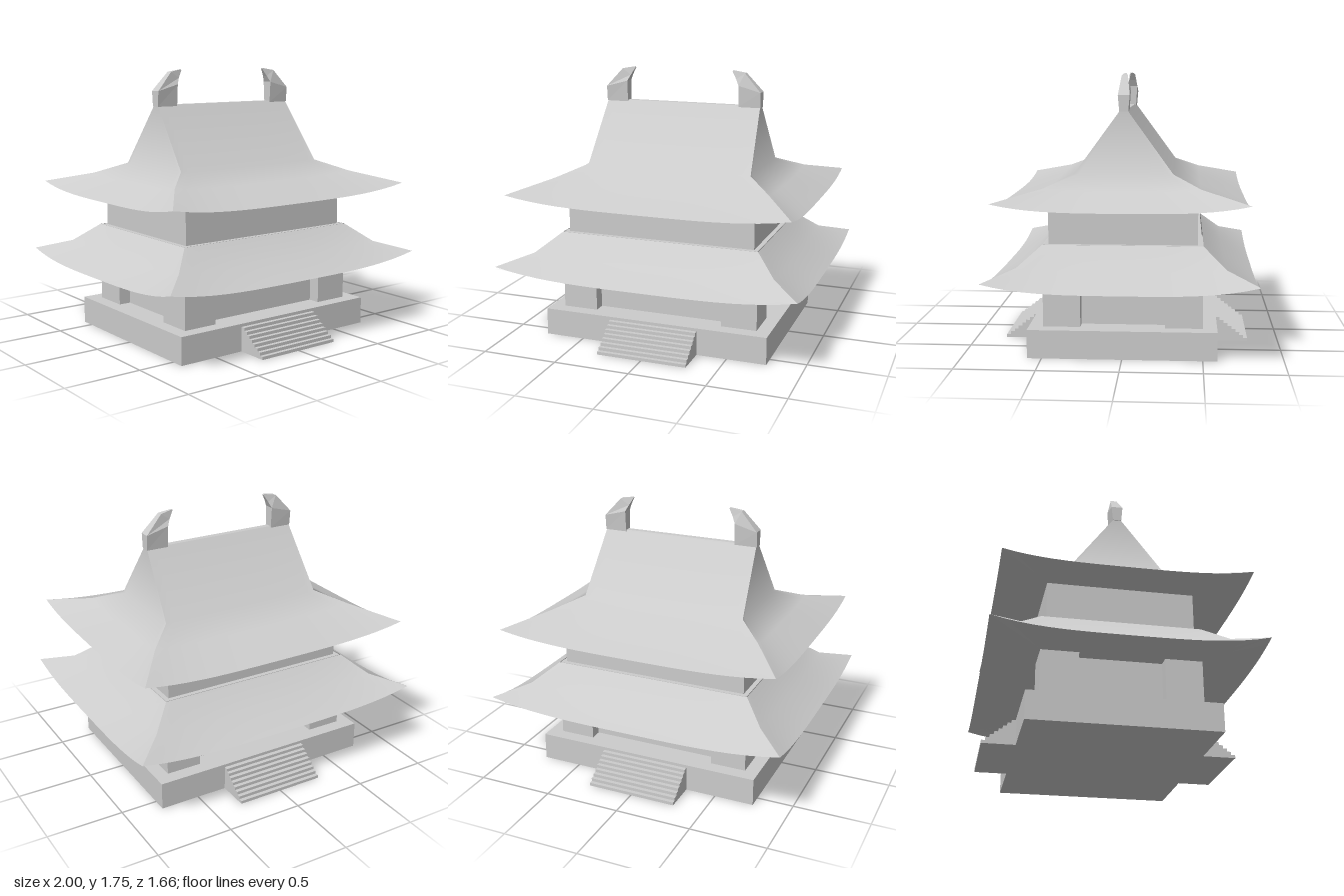
import * as THREE from 'three';

const material = new THREE.MeshStandardMaterial({ color: 0xcccccc, side: THREE.DoubleSide });

function add(parent, geometry, name, x = 0, y = 0, z = 0) {
  const mesh = new THREE.Mesh(geometry, material);
  mesh.name = name;
  mesh.position.set(x, y, z);
  parent.add(mesh);
  return mesh;
}

// Surface through rows of points, listed left to right and bottom to top
function gridGeometry(rows) {
  const n = rows[0].length;
  const index = [];
  for (let r = 0; r < rows.length - 1; r++) {
    for (let i = 0; i < n - 1; i++) {
      const a = r * n + i;
      index.push(a, a + 1, a + n + 1, a, a + n + 1, a + n);
    }
  }
  const geometry = new THREE.BufferGeometry();
  geometry.setAttribute('position', new THREE.Float32BufferAttribute(rows.flat(2), 3));
  geometry.setIndex(index);
  geometry.computeVertexNormals();
  return geometry;
}

// One row of a roof panel: the middle hangs below the corners by sag
function roofRow(halfWidth, out, y, sag, segments = 20) {
  const row = [];
  for (let i = 0; i <= segments; i++) {
    const t = (i / segments) * 2 - 1;
    row.push([t * halfWidth, y - sag * (1 - Math.abs(t) ** 3.5), out]);
  }
  return row;
}

// Four curved panels meeting at sharp hips; rings are [halfX, halfZ, y, sag]
function createRoof(name, rings, soffit) {
  const roof = new THREE.Group();
  roof.name = name;
  for (let k = 0; k < 4; k++) {
    const toRow = ([hx, hz, y, sag]) => (k % 2 ? roofRow(hz, hx, y, sag) : roofRow(hx, hz, y, sag));
    const top = add(roof, gridGeometry(rings.map(toRow)), 'roofSlope');
    const under = add(roof, gridGeometry([soffit, rings[0]].map(toRow)), 'eaveUnderside');
    top.rotation.y = under.rotation.y = (k * Math.PI) / 2;
  }
  return roof;
}

// Curled ridge end: sections are [outerX, outerY, innerX, innerY, halfDepth]
function hornGeometry() {
  const sections = [
    [0.54, 1.52, 0.39, 1.52, 0.028],
    [0.54, 1.62, 0.39, 1.66, 0.037],
    [0.43, 1.74, 0.37, 1.7, 0.02],
    [0.345, 1.755, 0.34, 1.75, 0.006],
  ];
  const rows = sections.map(([ox, oy, ix, iy, d]) => [
    [ix, iy, d], [ox, oy, d], [ox, oy, -d], [ix, iy, -d], [ix, iy, d],
  ]);
  const center = ([ox, oy, ix, iy]) => Array(5).fill([(ox + ix) / 2, (oy + iy) / 2, 0]);
  rows.unshift(center(sections[0]));
  rows.push(center(sections[3]));
  const geometry = gridGeometry(rows).toNonIndexed();
  geometry.computeVertexNormals();
  return geometry;
}

// Flight of steps with a stepped side profile
function stairsGeometry() {
  const steps = 8, rise = 0.02, run = 0.026, width = 0.6;
  const shape = new THREE.Shape();
  shape.moveTo(0.58, 0);
  shape.lineTo(0.8, 0);
  for (let i = 0; i < steps; i++) {
    shape.lineTo(0.8 - i * run, (i + 1) * rise);
    shape.lineTo(i === steps - 1 ? 0.58 : 0.8 - (i + 1) * run, (i + 1) * rise);
  }
  shape.closePath();
  const geometry = new THREE.ExtrudeGeometry(shape, { depth: width, bevelEnabled: false });
  return geometry.translate(0, 0, -width / 2).rotateY(-Math.PI / 2);
}

export function createModel() {
  const model = new THREE.Group();
  model.name = 'pavilion';

  // Platform and the two flights of steps
  add(model, new THREE.BoxGeometry(1.52, 0.18, 1.18), 'platform', 0, 0.09, 0);
  const frontStairs = stairsGeometry();
  add(model, frontStairs, 'frontStairs');
  add(model, frontStairs, 'backStairs').rotation.y = Math.PI;

  // Ground floor: recessed walls between four solid corners
  add(model, new THREE.BoxGeometry(1.18, 0.3, 0.84), 'recessedWalls', 0, 0.33, 0);
  const corner = new THREE.BoxGeometry(0.235, 0.3, 0.235);
  for (const sx of [-1, 1]) {
    for (const sz of [-1, 1]) add(model, corner, 'cornerWall', sx * 0.5525, 0.33, sz * 0.3825);
  }

  // Lower roof
  model.add(createRoof('lowerRoof', [
    [1.0, 0.83, 0.52, 0.06],
    [0.81, 0.64, 0.582, 0.02],
    [0.67, 0.5, 0.7, 0],
  ], [0.66, 0.49, 0.48, 0]));
  add(model, new THREE.BoxGeometry(1.33, 0.02, 0.99), 'lowerRoofDeck', 0, 0.69, 0);

  // Upper storey
  add(model, new THREE.BoxGeometry(1.27, 0.27, 0.93), 'upperWalls', 0, 0.825, 0);

  // Upper roof, rising to a ridge
  model.add(createRoof('upperRoof', [
    [0.94, 0.775, 0.99, 0.05],
    [0.725, 0.48, 1.06, 0.02],
    [0.56, 0.31, 1.132, 0],
    [0.535, 0.02, 1.53, 0],
  ], [0.63, 0.46, 0.95, 0]));
  add(model, new THREE.BoxGeometry(1.07, 0.01, 0.04), 'ridge', 0, 1.525, 0);

  // Curled horns at both ridge ends
  const horn = hornGeometry();
  add(model, horn, 'leftRidgeHorn');
  add(model, horn, 'rightRidgeHorn').rotation.y = Math.PI;

  return model;
}
